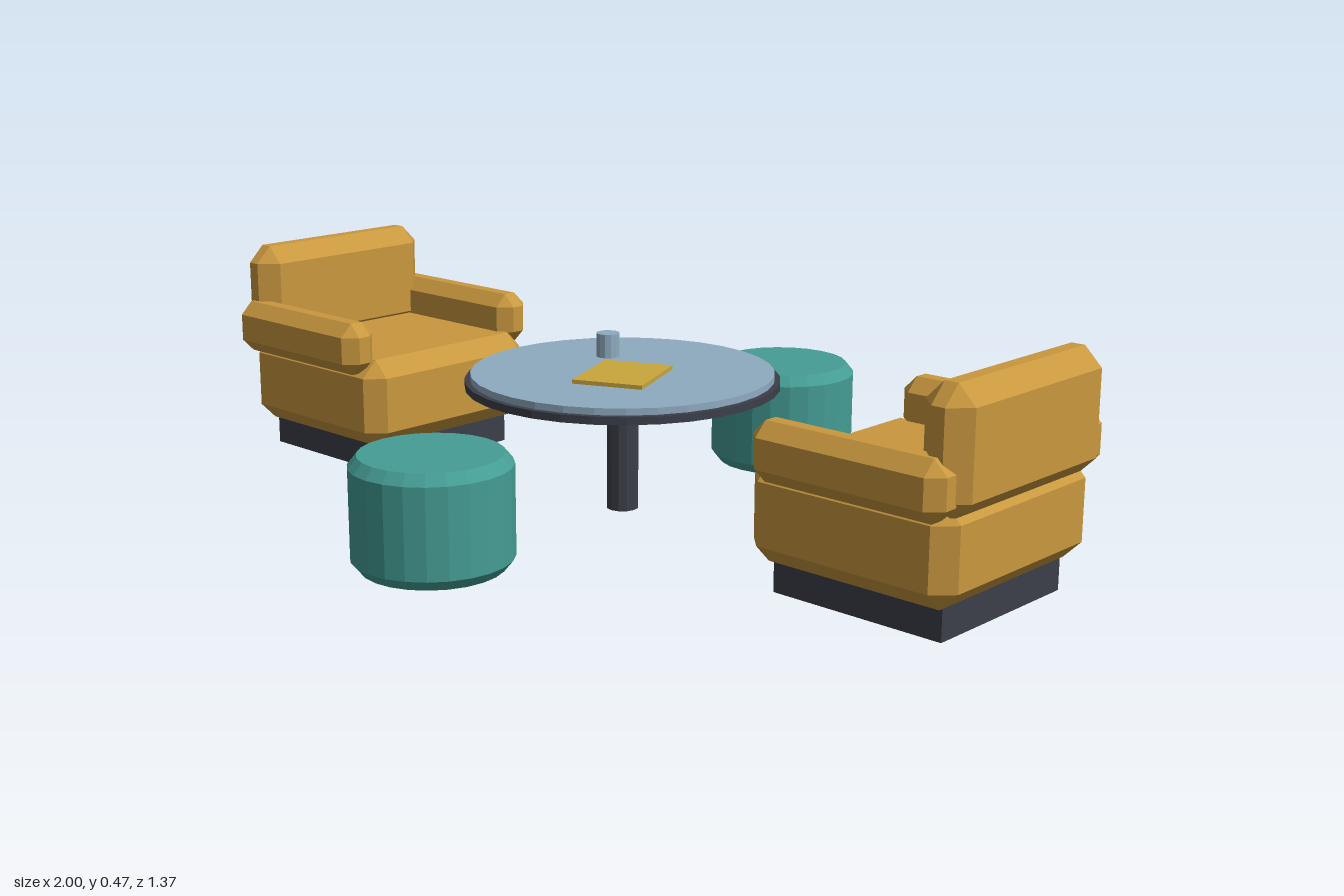
import * as THREE from 'three';
import { ConvexGeometry } from 'three/addons/geometries/ConvexGeometry.js';

const mat = (name, color, flatShading = false) => {
  const m = new THREE.MeshStandardMaterial({ color, flatShading });
  m.name = name;
  return m;
};

// Box with every edge and corner chamfered by b
function chamferBox(x0, x1, y0, y1, z0, z1, b) {
  const h = [(x1 - x0) / 2, (y1 - y0) / 2, (z1 - z0) / 2];
  const points = [];
  for (const sx of [-1, 1]) for (const sy of [-1, 1]) for (const sz of [-1, 1])
    for (let axis = 0; axis < 3; axis++) {
      const s = [sx, sy, sz];
      points.push(new THREE.Vector3(...h.map((v, i) => s[i] * (i === axis ? v : v - b))));
    }
  return new ConvexGeometry(points).translate((x0 + x1) / 2, (y0 + y1) / 2, (z0 + z1) / 2);
}

function add(parent, name, geometry, material, x = 0, y = 0, z = 0) {
  const mesh = new THREE.Mesh(geometry, material);
  mesh.name = name;
  mesh.position.set(x, y, z);
  parent.add(mesh);
  return mesh;
}

export function createModel() {
  const group = new THREE.Group();
  group.name = 'loungeSet';
  const ochre = mat('ochre upholstery', 0xc9983f, true);
  const teal = mat('teal fabric', 0x449d94, true);
  const dark = mat('dark base', 0x3c3f49, true);
  const glass = mat('blue grey top', 0x8fabc0, true);
  const gold = mat('gold paper', 0xc9a63c, true);

  // Armchairs, facing each other across the table
  for (const [name, turn] of [['rightArmchair', 0], ['leftArmchair', Math.PI]]) {
    const chair = new THREE.Group();
    chair.name = name;
    chair.rotation.y = turn;
    add(chair, 'plinth', new THREE.BoxGeometry(0.375, 0.08, 0.375), dark, -0.755, 0.04, 0);
    add(chair, 'seat', chamferBox(-0.98, -0.527, 0.063, 0.26, -0.235, 0.235, 0.037), ochre);
    add(chair, 'backrest', chamferBox(-1, -0.898, 0.228, 0.469, -0.235, 0.235, 0.037), ochre);
    add(chair, 'armrest', chamferBox(-0.98, -0.56, 0.23, 0.345, 0.187, 0.272, 0.028), ochre);
    add(chair, 'armrest', chamferBox(-0.98, -0.56, 0.23, 0.345, -0.272, -0.187, 0.028), ochre);
    group.add(chair);
  }

  // Round stools with chamfered rims
  const profile = [[0, 0], [0.142, 0], [0.16, 0.022], [0.16, 0.205], [0.142, 0.227], [0, 0.227]]
    .map(([r, y]) => new THREE.Vector2(r, y));
  for (const s of [1, -1])
    add(group, s > 0 ? 'frontStool' : 'backStool', new THREE.LatheGeometry(profile, 24), teal, 0, 0, s * 0.526);

  // Table
  const table = new THREE.Group();
  table.name = 'table';
  add(table, 'pedestal', new THREE.CylinderGeometry(0.034, 0.034, 0.27, 12), dark, 0, 0.135, 0);
  add(table, 'tableRim', new THREE.CylinderGeometry(0.328, 0.328, 0.016, 32), dark, 0, 0.274, 0);
  add(table, 'tableTop', new THREE.CylinderGeometry(0.316, 0.316, 0.015, 32), glass, 0, 0.2885, 0);
  add(table, 'cup', new THREE.CylinderGeometry(0.025, 0.025, 0.052, 12), glass, -0.115, 0.321, -0.075);
  const paper = add(table, 'magazine', new THREE.BoxGeometry(0.15, 0.009, 0.188), gold, 0.037, 0.3, 0.037);
  paper.rotation.y = 0.41;
  group.add(table);
  return group;
}
